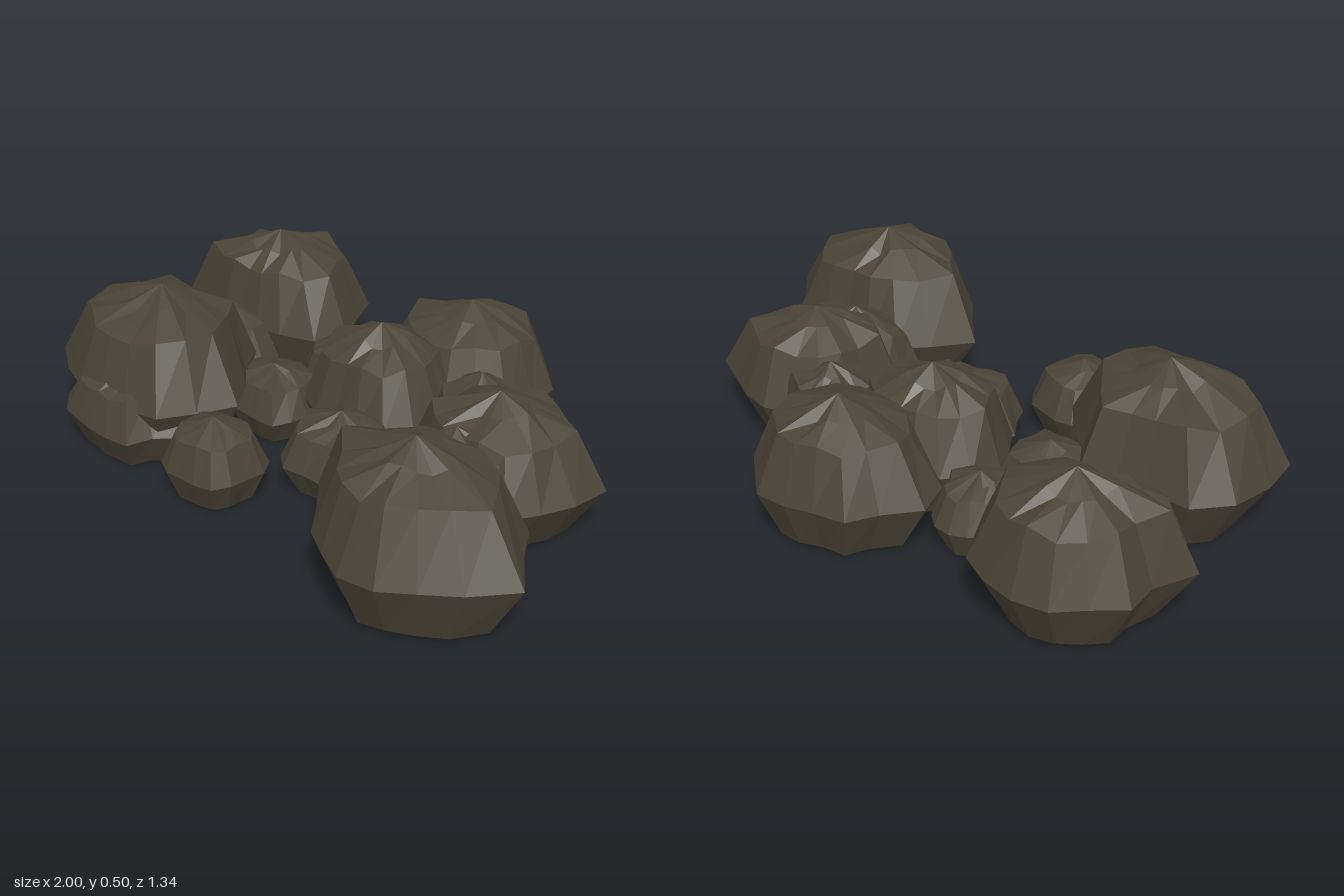
import * as THREE from 'three';

const SIDES = 16;

// small seeded generator so every stone keeps its shape
function seeded(seed) {
  let s = seed * 7919 + 17;
  const next = () => {
    s = (s * 16807) % 2147483647;
    return s / 2147483647;
  };
  next();
  return next;
}

// ring heights and radii, as shares of the stone's height and belly radius
const RINGS = [
  { y: 0.015, scale: 0.72, jitter: 0.06, lift: 0.03, even: 0.15 }, // foot
  { y: 0.39, scale: 1, jitter: 0, lift: 0, even: 0 }, // belly
  { y: 0.8, scale: 0.74, jitter: 0.08, lift: 0.07, even: 0.15 }, // shoulder
  { y: 0.9, scale: 0.35, jitter: 0.04, lift: 0.06, even: 0.5 }, // creased crown
];

// Faceted stone closed by a peak and a base point.
// outline = belly radii, running from +x towards +z
function stoneGeometry(outline, height, seed) {
  const rand = seeded(seed);
  const mean = outline.reduce((a, b) => a + b, 0) / SIDES;
  const points = [];
  for (const ring of RINGS) {
    for (let i = 0; i < SIDES; i++) {
      const angle = (i / SIDES) * Math.PI * 2;
      const r = THREE.MathUtils.lerp(outline[i], mean, ring.even) * (ring.scale + (rand() - 0.5) * ring.jitter);
      const y = height * (ring.y + (rand() - 0.5) * ring.lift);
      points.push(r * Math.cos(angle), y, r * Math.sin(angle));
    }
  }
  points.push(0, height, 0, 0, 0, 0);
  const top = (RINGS.length - 1) * SIDES, peak = top + SIDES, base = peak + 1;
  const index = [];
  for (let i = 0; i < SIDES; i++) {
    const j = (i + 1) % SIDES;
    for (let k = 0; k < top; k += SIDES) {
      const a = k + i, b = k + j, c = b + SIDES, d = a + SIDES;
      index.push(b, a, d, b, d, c);
    }
    index.push(top + j, top + i, peak, i, j, base);
  }
  const geometry = new THREE.BufferGeometry();
  geometry.setAttribute('position', new THREE.Float32BufferAttribute(points, 3));
  geometry.setIndex(index);
  const faceted = geometry.toNonIndexed();
  faceted.computeVertexNormals();
  return faceted;
}

// large stones: position, height, belly radii
const BOULDERS = [
  { name: 'frontLeftBoulder', x: 0.61, z: 0.375, h: 0.5,
    outline: [0.39, 0.32, 0.285, 0.295, 0.295, 0.27, 0.28, 0.29, 0.37, 0.3, 0.28, 0.24, 0.22, 0.25, 0.31, 0.31] },
  { name: 'frontRightBoulder', x: -0.58, z: 0.26, h: 0.49,
    outline: [0.34, 0.31, 0.32, 0.28, 0.27, 0.28, 0.31, 0.37, 0.36, 0.36, 0.34, 0.26, 0.25, 0.3, 0.25, 0.28] },
  { name: 'backRightBoulder', x: -0.68, z: -0.33, h: 0.455,
    outline: [0.31, 0.3, 0.23, 0.2, 0.19, 0.21, 0.25, 0.345, 0.26, 0.29, 0.26, 0.28, 0.28, 0.28, 0.295, 0.28] },
  { name: 'backBoulder', x: 0.09, z: -0.43, h: 0.43,
    outline: [0.26, 0.26, 0.25, 0.25, 0.25, 0.25, 0.27, 0.31, 0.325, 0.26, 0.27, 0.23, 0.24, 0.265, 0.25, 0.275] },
  { name: 'middleBoulder', x: 0, z: -0.12, h: 0.43,
    outline: [0.25, 0.25, 0.24, 0.21, 0.2, 0.22, 0.24, 0.24, 0.26, 0.25, 0.23, 0.22, 0.2, 0.21, 0.23, 0.24] },
  { name: 'leftBoulder', x: 0.52, z: -0.07, h: 0.42,
    outline: [0.29, 0.27, 0.28, 0.24, 0.22, 0.24, 0.25, 0.28, 0.23, 0.23, 0.24, 0.23, 0.25, 0.25, 0.26, 0.325] },
];

// small stones wedged between: x, z, radius along x, radius along z, height
const PEBBLES = [
  [-0.16, 0.425, 0.16, 0.145, 0.26],
  [-0.56, 0.41, 0.23, 0.19, 0.285],
  [0.08, 0.13, 0.185, 0.18, 0.255],
  [-0.33, 0.03, 0.17, 0.14, 0.22],
  [-0.29, -0.25, 0.14, 0.14, 0.235],
  [-0.69, -0.08, 0.2, 0.13, 0.27],
  [0.33, -0.21, 0.17, 0.15, 0.35],
  [0.5, 0.09, 0.23, 0.15, 0.36],
];

export function createModel() {
  const group = new THREE.Group();
  group.name = 'rockCluster';
  const stone = new THREE.MeshStandardMaterial({ color: 0x4a4438 });
  stone.name = 'darkStone';

  const add = (name, geometry, x, z) => {
    const mesh = new THREE.Mesh(geometry, stone);
    mesh.name = name;
    mesh.position.set(x, 0, z);
    group.add(mesh);
  };

  BOULDERS.forEach(({ name, x, z, h, outline }, i) => {
    add(name, stoneGeometry(outline, h, i + 1), x, z);
  });

  // knobbly ovals
  PEBBLES.forEach(([x, z, rx, rz, h], i) => {
    const rand = seeded(i + 40);
    const outline = Array.from({ length: SIDES }, (_, k) => {
      const angle = (k / SIDES) * Math.PI * 2;
      const oval = (rx * rz) / Math.hypot(rz * Math.cos(angle), rx * Math.sin(angle));
      return oval * (0.87 + rand() * 0.24);
    });
    add('smallStone' + (i + 1), stoneGeometry(outline, h, i + 20), x, z);
  });

  return group;
}
